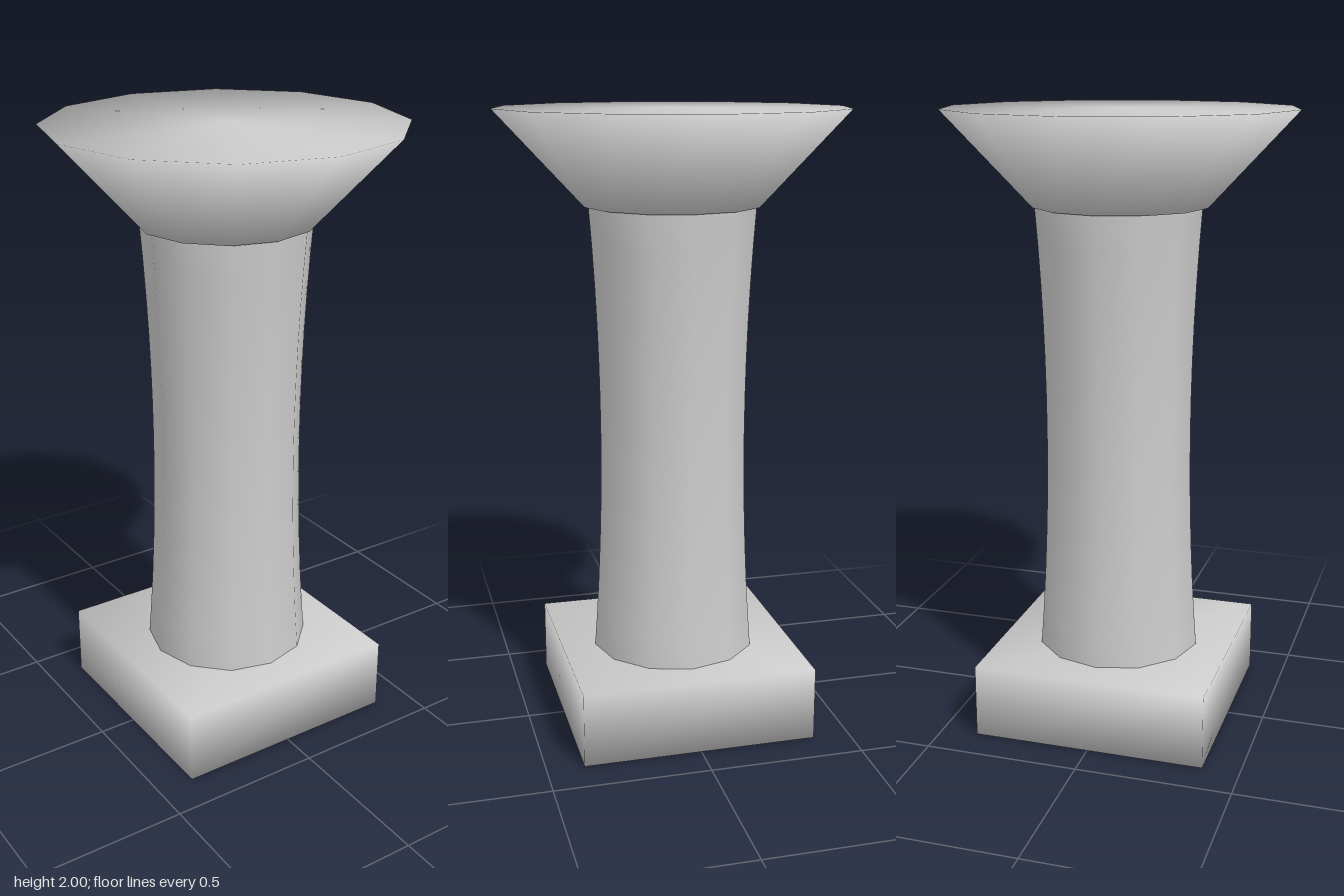
import * as THREE from 'three';
import { mergeVertices } from 'three/addons/utils/BufferGeometryUtils.js';

// Weld corners so that shading runs smoothly over every edge
function smooth(geometry) {
  geometry.deleteAttribute('normal');
  geometry.deleteAttribute('uv');
  const welded = mergeVertices(geometry, 1e-4);
  welded.computeVertexNormals();
  return welded;
}

export function createModel() {
  const group = new THREE.Group();
  const stone = new THREE.MeshStandardMaterial({ color: 0xcccccc });
  stone.name = 'grey stone';

  function add(name, geometry, x, y) {
    const mesh = new THREE.Mesh(geometry, stone);
    mesh.name = name;
    mesh.position.set(x, y, 0);
    group.add(mesh);
  }

  // Square plinth
  add('base', smooth(new THREE.BoxGeometry(0.76, 0.24, 0.76)), 0, 0.12);

  // Twelve-sided shaft with a gentle waist, ends set just inside its neighbours
  const bottom = 0.23, top = 1.71, profile = [];
  for (let i = 0; i <= 12; i++) {
    const t = i / 12;
    const radius = 0.24 + 0.03 * (2 * t - 1) ** 2;
    profile.push(new THREE.Vector2(radius, bottom + (top - bottom) * t));
  }
  add('column', smooth(new THREE.LatheGeometry(profile, 12)), 0.005, 0);

  // Flared capital with a flat top
  add('capital', smooth(new THREE.CylinderGeometry(0.56, 0.28, 0.3, 12)), 0, 1.85);

  return group;
}
